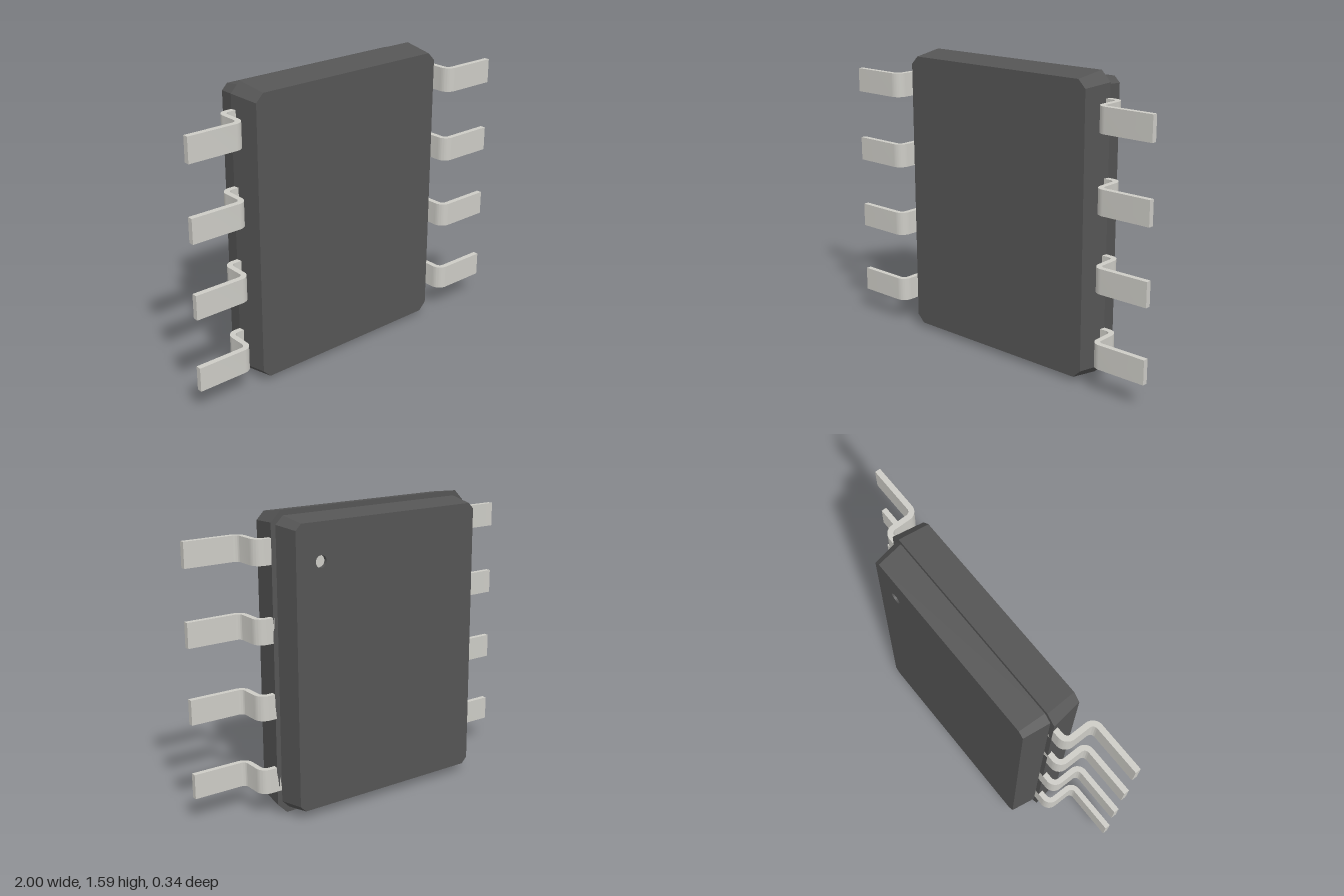
import * as THREE from 'three';
import { toCreasedNormals } from 'three/addons/utils/BufferGeometryUtils.js';

const MID_Y = 0.797;
const PART_Z = -0.03;
const plastic = new THREE.MeshStandardMaterial({ color: 0x555555, flatShading: true });
const metal = new THREE.MeshStandardMaterial({ color: 0xcdccc6 });

// Rectangle with cut corners, counter-clockwise, centred on the origin
function outline(w, h, c) {
  return [
    [w, -h + c], [w, h - c], [w - c, h], [-w + c, h],
    [-w, h - c], [-w, -h + c], [-w + c, -h], [w - c, -h],
  ].map(([x, y]) => new THREE.Vector2(x, y));
}

// Sloping walls between two outlines; za is the rear one, zb the front one
function wallGeometry(a, za, b, zb) {
  const pos = [];
  a.forEach((p, i) => {
    const j = (i + 1) % a.length;
    const q = a[j], r = b[j], s = b[i];
    pos.push(p.x, p.y, za, q.x, q.y, za, r.x, r.y, zb);
    pos.push(p.x, p.y, za, r.x, r.y, zb, s.x, s.y, zb);
  });
  const g = new THREE.BufferGeometry();
  g.setAttribute('position', new THREE.Float32BufferAttribute(pos, 3));
  g.computeVertexNormals();
  return g;
}

// Flat end face, optionally pierced, turned to the front or to the back
function capGeometry(points, z, facesFront, hole) {
  const shape = new THREE.Shape(points);
  if (hole) shape.holes.push(hole);
  const g = new THREE.ShapeGeometry(shape, 16);
  if (!facesFront) g.rotateY(Math.PI);
  return g.translate(0, 0, z);
}

function add(parent, name, geometry, material) {
  const mesh = new THREE.Mesh(geometry, material);
  mesh.name = name;
  parent.add(mesh);
  return mesh;
}

// Bent gull-wing strip, running from inside the body out to the foot
function pinGeometry() {
  const s = new THREE.Shape();
  s.moveTo(0.55, 0.03);
  s.lineTo(0.65, 0.03);
  s.absarc(0.65, -0.025, 0.055, Math.PI / 2, 0, true);
  s.lineTo(0.705, -0.115);
  s.absarc(0.73, -0.115, 0.025, Math.PI, Math.PI * 1.5, false);
  s.lineTo(1, -0.14);
  s.lineTo(1, -0.17);
  s.lineTo(0.73, -0.17);
  s.absarc(0.73, -0.115, 0.055, Math.PI * 1.5, Math.PI, true);
  s.lineTo(0.675, -0.025);
  s.absarc(0.65, -0.025, 0.025, 0, Math.PI / 2, false);
  s.lineTo(0.55, 0);
  s.closePath();
  const width = 0.132;
  const g = new THREE.ExtrudeGeometry(s, { depth: width, bevelEnabled: false, curveSegments: 8 });
  g.translate(0, 0, -width / 2).rotateX(-Math.PI / 2);
  return toCreasedNormals(g, 0.6);
}

export function createModel() {
  const model = new THREE.Group();
  model.name = 'chipPackage';

  // Front half of the moulded body, the wider one
  const front = new THREE.Group();
  front.name = 'frontBody';
  const frontRear = outline(0.615, 0.797, 0.055);
  const frontFace = outline(0.592, 0.772, 0.043);
  add(front, 'frontBodyWalls', wallGeometry(frontRear, PART_Z, frontFace, 0.14), plastic);
  add(front, 'frontBodyFace', capGeometry(frontFace, 0.14, true), plastic);
  add(front, 'partingLip', capGeometry(frontRear, PART_Z, false), plastic);

  // Rear half, stepped in, with the round marker recess
  const rear = new THREE.Group();
  rear.name = 'rearBody';
  const backZ = -0.173, dotX = 0.42, dotY = 0.55, dotR = 0.032, depth = 0.02;
  const rearFace = outline(0.566, 0.748, 0.032);
  const rearRoot = outline(0.588, 0.77, 0.042);
  // The back face is turned round, so its hole is placed mirrored
  const hole = new THREE.Path().absarc(-dotX, dotY, dotR, 0, Math.PI * 2, true);
  add(rear, 'rearBodyWalls', wallGeometry(rearFace, backZ, rearRoot, PART_Z), plastic);
  add(rear, 'rearBodyFace', capGeometry(rearFace, backZ, false, hole), plastic);
  const rim = new THREE.CylinderGeometry(dotR, dotR, depth, 32, 1, true).rotateX(Math.PI / 2);
  const rimMaterial = new THREE.MeshStandardMaterial({ color: 0x555555, side: THREE.DoubleSide });
  add(rear, 'markerRim', rim, rimMaterial).position.set(dotX, dotY, backZ + depth / 2);
  const floor = new THREE.CircleGeometry(dotR, 32).rotateY(Math.PI);
  add(rear, 'markerFloor', floor, metal).position.set(dotX, dotY, backZ + depth);

  front.position.y = rear.position.y = MID_Y;
  model.add(front, rear);

  // Four pins on each side
  const pin = pinGeometry();
  for (let i = 0; i < 4; i++) {
    const y = MID_Y + (i - 1.5) * 0.4;
    add(model, `leftPin${i + 1}`, pin, metal).position.y = y;
    const right = add(model, `rightPin${i + 1}`, pin, metal);
    right.position.y = y;
    right.rotation.z = Math.PI;
  }
  return model;
}
